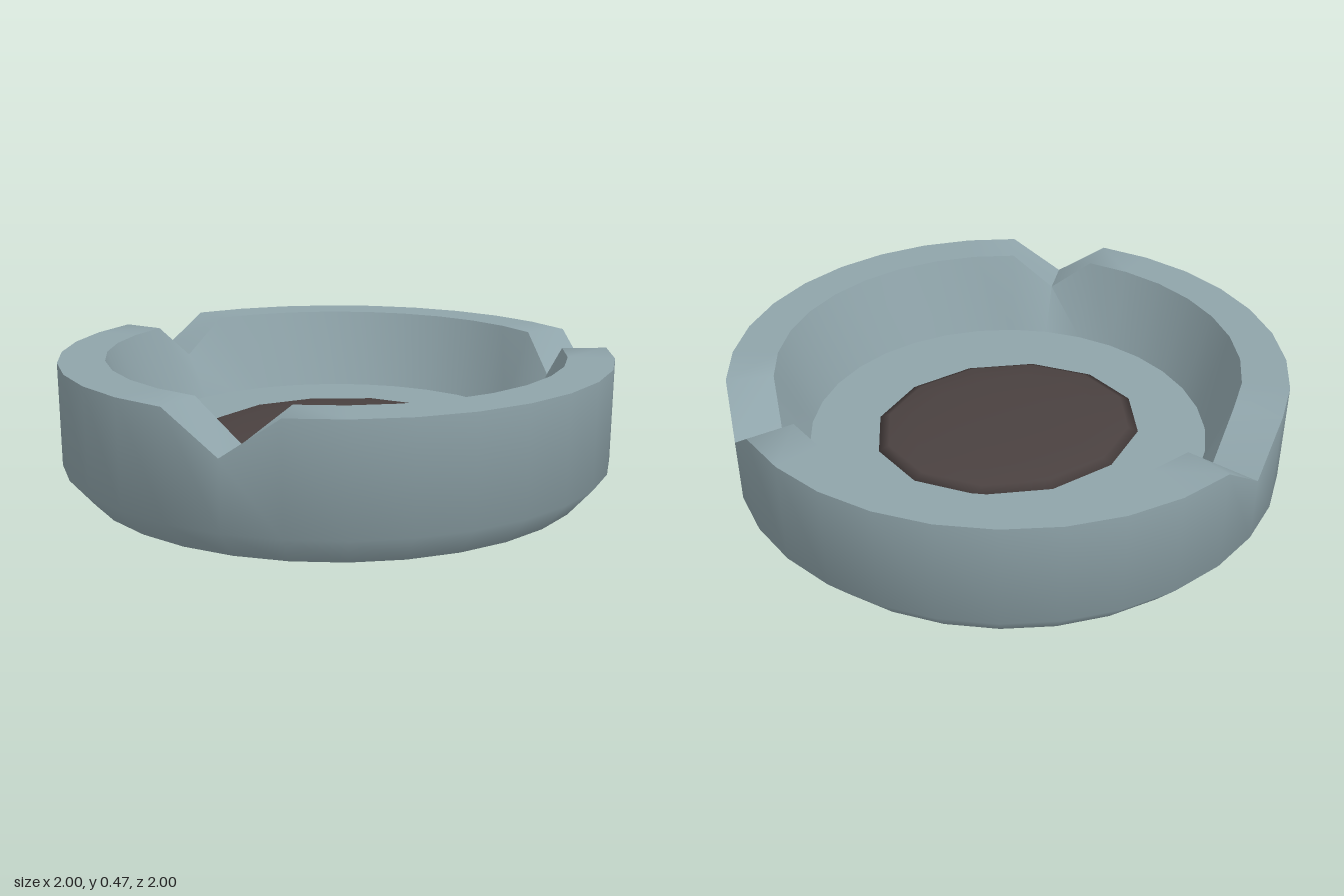
import * as THREE from 'three';
import { toCreasedNormals } from 'three/addons/utils/BufferGeometryUtils.js';

const SIDES = 32;
const RIM_Y = 0.47;
const NOTCH_Y = 0.335;
const NOTCH_STEPS = [8, 19, 29]; // lathe steps where the rim dips

export function createModel() {
  const group = new THREE.Group();
  group.name = 'ashtray';

  const glaze = new THREE.MeshStandardMaterial({ color: 0x8fa4aa });
  glaze.name = 'blue grey glaze';
  const ashBrown = new THREE.MeshStandardMaterial({ color: 0x4a4140 });
  ashBrown.name = 'ash brown';

  // Bowl: base, bevelled outer wall, rim, sloped inner wall, floor
  const profile = [
    [0, 0], [0.915, 0], [1, 0.1], [1, RIM_Y],
    [0.835, RIM_Y], [0.735, 0.17], [0, 0.17],
  ].map(([r, y]) => new THREE.Vector2(r, y));
  const bowlGeometry = new THREE.LatheGeometry(profile, SIDES);

  // V-shaped rests: drop the two rim points at each notch step
  const position = bowlGeometry.attributes.position;
  for (const step of NOTCH_STEPS) {
    for (const rimPoint of [3, 4]) {
      position.setY(step * profile.length + rimPoint, NOTCH_Y);
    }
  }
  const bowl = new THREE.Mesh(toCreasedNormals(bowlGeometry, THREE.MathUtils.degToRad(45)), glaze);
  bowl.name = 'bowl';
  group.add(bowl);

  // Ash: low oval mound resting on the floor
  const ash = new THREE.Mesh(new THREE.SphereGeometry(0.5, 12, 8), ashBrown);
  ash.name = 'ashMound';
  ash.scale.set(1, 0.08, 0.87);
  ash.position.y = 0.175;
  group.add(ash);

  return group;
}
